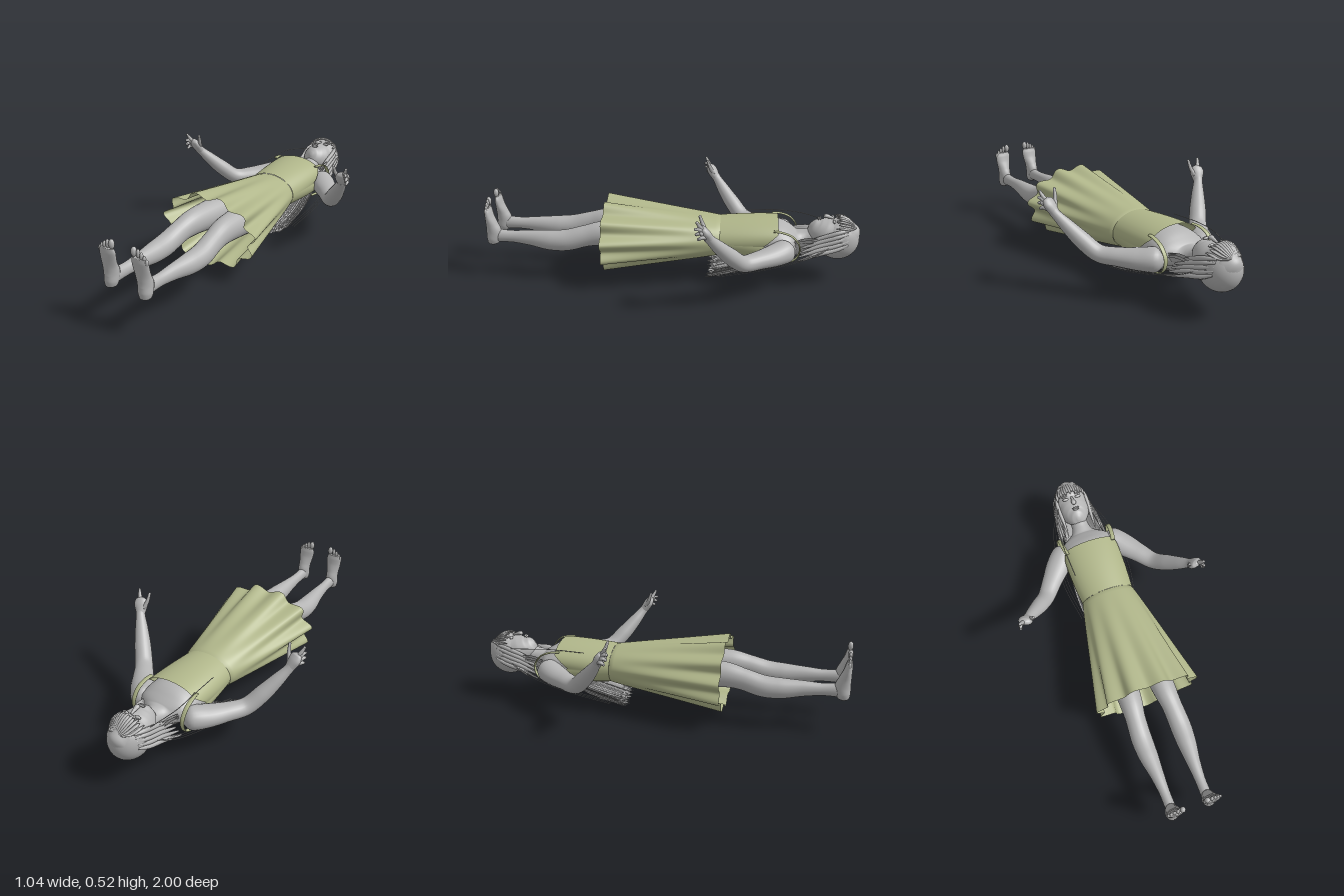
import * as THREE from 'three';
import { ParametricGeometry } from 'three/addons/geometries/ParametricGeometry.js';

const skin = new THREE.MeshStandardMaterial({ color: 0xb4b4b4 });
skin.name = 'skin grey';
const hairMat = new THREE.MeshStandardMaterial({ color: 0xb0b0b0, side: THREE.DoubleSide });
hairMat.name = 'hair grey';
const cloth = new THREE.MeshStandardMaterial({ color: 0xb0b68a, side: THREE.DoubleSide });
cloth.name = 'sage cloth';

const V = (x, y, z) => new THREE.Vector3(x, y, z);

function add(parent, name, geometry, material) {
  const mesh = new THREE.Mesh(geometry, material);
  mesh.name = name;
  parent.add(mesh);
  return mesh;
}

// Closed smooth solid through stations [x, y, z, radiusA, radiusB]
function loft(stations, up = V(0, 1, 0), sides = 24, steps = stations.length * 6) {
  const path = new THREE.CatmullRomCurve3(stations.map(s => V(s[0], s[1], s[2])));
  const size = new THREE.CatmullRomCurve3(stations.map(s => V(s[3], s[4], 0)));
  const pos = [], index = [];
  for (let i = 0; i <= steps; i++) {
    const t = i / steps, c = path.getPoint(t), r = size.getPoint(t), dir = path.getTangent(t);
    const a = up.clone().cross(dir).normalize(), b = dir.clone().cross(a);
    for (let j = 0; j < sides; j++) {
      const q = j / sides * Math.PI * 2;
      const p = c.clone().addScaledVector(a, Math.max(r.x, 0) * Math.cos(q))
        .addScaledVector(b, Math.max(r.y, 0) * Math.sin(q));
      pos.push(p.x, p.y, p.z);
      if (i === steps) continue;
      const k = i * sides + j, n = i * sides + (j + 1) % sides;
      index.push(k, n, k + sides, n, n + sides, k + sides);
    }
  }
  const first = path.getPoint(0), last = path.getPoint(1), base = pos.length / 3, end = steps * sides;
  pos.push(first.x, first.y, first.z, last.x, last.y, last.z);
  for (let j = 0; j < sides; j++) {
    const n = (j + 1) % sides;
    index.push(base, n, j, base + 1, end + j, end + n);
  }
  const g = new THREE.BufferGeometry();
  g.setAttribute('position', new THREE.Float32BufferAttribute(pos, 3));
  g.setIndex(index);
  g.computeVertexNormals();
  return g;
}

function blob(parent, name, material, [x, y, z], [rx, ry, rz], segments = 20) {
  const mesh = add(parent, name, new THREE.SphereGeometry(1, segments, segments * 0.7 | 0), material);
  mesh.position.set(x, y, z);
  mesh.scale.set(rx, ry, rz);
  return mesh;
}

const strand = (points, r) =>
  new THREE.TubeGeometry(new THREE.CatmullRomCurve3(points.map(p => V(...p))), 24, r, 5);

function buildHead(g) {
  add(g, 'head', loft([
    [0, .255, -.995, .01, .01], [0, .26, -.98, .05, .06], [0, .26, -.95, .077, .092],
    [0, .257, -.90, .091, .11], [0, .262, -.85, .088, .103], [0, .282, -.80, .079, .083],
    [0, .302, -.765, .058, .063], [0, .318, -.745, .035, .042], [0, .325, -.735, .008, .01]], undefined, 36), skin);
  add(g, 'nose', loft([[0, .361, -.86, .006, .005], [0, .369, -.835, .009, .009],
    [0, .374, -.815, .014, .011], [0, .365, -.807, .008, .004]], undefined, 14), skin);
  blob(g, 'upperLip', skin, [0, .361, -.787], [.02, .007, .005]);
  blob(g, 'lowerLip', skin, [0, .359, -.778], [.017, .007, .005]);
  for (const s of [1, -1]) {
    blob(g, 'eye', skin, [s * .036, .355, -.857], [.017, .008, .008]);
    blob(g, 'brow', skin, [s * .037, .357, -.877], [.021, .006, .004]);
    blob(g, 'ear', skin, [s * .09, .255, -.845], [.012, .016, .028]);
  }
}

function buildTorso(g) {
  add(g, 'torso', loft([
    [0, .25, .09, .05, .04], [0, .25, .05, .13, .085], [0, .25, -.08, .145, .095], [0, .25, -.25, .128, .09],
    [0, .25, -.45, .138, .097], [0, .248, -.56, .146, .092], [0, .24, -.62, .145, .072],
    [0, .236, -.662, .10, .055], [0, .242, -.695, .058, .05], [0, .25, -.73, .048, .048],
    [0, .265, -.80, .048, .05]], undefined, 36), skin);
}

function buildArm(g, s) {
  const arm = new THREE.Group();
  arm.name = s > 0 ? 'leftArm' : 'rightArm';
  g.add(arm);
  add(arm, 'armLimb', loft([
    [.11, .225, -.62, .03, .03], [.15, .225, -.595, .066, .062], [.2, .222, -.54, .066, .055],
    [.26, .222, -.465, .055, .046], [.32, .228, -.385, .047, .043], [.375, .29, -.32, .044, .042],
    [.425, .36, -.262, .034, .033], [.46, .413, -.222, .025, .024], [.468, .43, -.21, .026, .024]]
    .map(p => [s * p[0], ...p.slice(1)])), skin);
  add(arm, 'palm', loft([[.456, .405, -.228, .02, .02], [.466, .43, -.21, .03, .024],
    [.474, .455, -.195, .038, .024], [.48, .478, -.182, .03, .018], [.482, .488, -.177, .008, .006]]
    .map(p => [s * p[0], ...p.slice(1)])), skin);
  // Thumb, pointing finger and curled fingers
  const fingers = [
    [[.452, .44, -.205], [.437, .48, -.185], [.431, .52, -.17]],
    [[.482, .468, -.188], [.498, .495, -.172], [.507, .518, -.16]],
    [[.49, .462, -.186], [.503, .484, -.168], [.509, .485, -.153]],
    [[.492, .452, -.192], [.508, .465, -.174], [.511, .46, -.157]],
    [[.49, .438, -.2], [.507, .444, -.185], [.51, .435, -.168]]];
  for (const [a, b, c] of fingers) {
    add(arm, 'finger', loft([[...a, .012, .012], [...b, .010, .010], [...c, .007, .007]]
      .map(p => [s * p[0], ...p.slice(1)]), V(0.3, 0, 1), 10, 10), skin);
    blob(arm, 'fingertip', skin, [s * c[0], c[1], c[2]], [.0075, .0075, .0075], 10);
  }
}

function buildLeg(g, s) {
  const leg = new THREE.Group();
  leg.name = s > 0 ? 'leftLeg' : 'rightLeg';
  g.add(leg);
  add(leg, 'legLimb', loft([
    [.075, .25, -.02, .06, .07], [.082, .25, .08, .078, .085], [.09, .265, .24, .07, .076],
    [.096, .27, .37, .06, .067], [.103, .255, .46, .053, .058], [.108, .23, .56, .055, .058],
    [.106, .226, .65, .051, .055], [.1, .233, .76, .036, .042], [.097, .237, .87, .027, .033],
    [.097, .24, .95, .028, .037]].map(p => [s * p[0], ...p.slice(1)])), skin);
  add(leg, 'foot', loft([
    [.101, .19, .966, .012, .012], [.101, .2, .966, .027, .029], [.1, .225, .963, .034, .037],
    [.099, .26, .958, .034, .041], [.098, .30, .966, .036, .033], [.096, .345, .976, .044, .023],
    [.094, .38, .981, .047, .018], [.094, .402, .983, .038, .012]]
    .map(p => [s * p[0], ...p.slice(1)]), V(0, 0, 1)), skin);
  // Toes shrink from the big one inside to the little one outside
  [[.064, .424, .0145, .024], [.088, .42, .0095, .023], [.106, .411, .009, .02],
    [.122, .4, .0085, .018], [.135, .387, .0085, .016]].forEach(([x, y, r, h]) =>
    blob(leg, 'toe', skin, [s * x, y, .983], [r, h, r], 14));
}

function buildDress(g) {
  // Flared skirt with eleven folds deepening toward the hem
  add(g, 'skirt', new ParametricGeometry((u, v, p) => {
    const q = u * Math.PI * 2, fold = 1 + .085 * Math.pow(v, 1.2) * Math.sin(11 * q);
    const rx = .146 + .119 * Math.pow(v, .88), ry = .1 + .082 * Math.pow(v, .9);
    p.set(Math.cos(q) * rx * fold, .248 + Math.sin(q) * ry * fold, -.26 + .615 * v);
  }, 176, 24), cloth);
  // Bodice, higher at the front than under the arms
  add(g, 'bodice', new ParametricGeometry((u, v, p) => {
    const q = u * Math.PI * 2, f = Math.sin(q);
    const top = f > 0 ? -.49 - .075 * Math.min(1, f * 1.7) : -.49 - .04 * Math.min(1, -f * 1.7);
    const z = -.26 + (top + .26) * v, w = Math.sin(v * Math.PI * .6);
    p.set(Math.cos(q) * (.146 + .01 * w) * (1 + .0 * f), .25 + f * (.1 + .012 * w), z);
    // Squared front and back so the panels lie flat
    p.x = Math.sign(p.x) * Math.min(.158, Math.abs(p.x) * (1 + .18 * v * Math.abs(f)));
  }, 72, 16), cloth);
  for (const s of [1, -1]) {
    add(g, 'shoulderStrap', loft([
      [.135, .33, -.54], [.142, .327, -.585], [.146, .305, -.64], [.147, .25, -.677],
      [.147, .19, -.662], [.142, .158, -.6], [.13, .16, -.51]]
      .map(p => [s * p[0], p[1], p[2], .004, .012]), V(1, 0, 0), 10, 36), cloth);
  }
}

function buildHair(g) {
  blob(g, 'scalpHair', hairMat, [0, .248, -.886], [.1, .112, .114], 36);
  // Layered sheet of long hair, grooved into locks with ragged ends
  const rows = new THREE.CatmullRomCurve3([
    V(.145, .092, .09), V(.15, .104, .11), V(.115, .135, .09), V(.048, .153, .083), V(.008, .146, .07)]);
  for (let k = 0; k < 3; k++) {
    add(g, 'longHair', new ParametricGeometry((u, v, p) => {
      const a = u * 2 - 1, r = rows.getPoint(v);
      const ragged = .02 * Math.abs(Math.sin(a * 23 + k * 2)) + .018 * Math.abs(Math.sin(a * 51 + k));
      p.set(a * r.y * (1 - .04 * k), r.x + r.z * a * a + k * .012 + .003 * v * Math.sin(a * 60 + k),
        -.88 + v * (.7 - ragged - .02 * k));
    }, 120, 20), hairMat);
  }
  // Fringe across the forehead
  for (let i = -6; i <= 6; i++) {
    const x = i * .0125, arc = Math.sqrt(1 - (x / .095) ** 2), tip = -.872 - (i & 1) * .012 + Math.abs(i) * .001;
    add(g, 'fringeLock', loft([
      [x * .5, .325, -.972, .006, .004], [x * .8, .262 + .096 * arc, -.937, .009, .005],
      [x, .262 + .113 * arc, -.9, .009, .006], [x * 1.03, .264 + .113 * arc, tip, .002, .002]],
      undefined, 8, 12), hairMat);
  }
  for (const s of [1, -1]) {
    // Locks framing the face
    for (let i = 0; i < 5; i++) {
      const d = i * .009;
      add(g, 'sideLock', loft([
        [s * (.07 + d * .6), .32 - d * 2, -.93, .006, .006], [s * (.085 + d * .5), .31 - d * 2.4, -.87, .011, .012],
        [s * (.083 + d), .275 - d * 2, -.78, .01, .013], [s * (.082 + d * 1.5), .24 - d * 2, -.69 + d * .5, .004, .005]],
        undefined, 8, 18), hairMat);
    }
    // Loose flyaway strands
    for (let i = 0; i < 3; i++) {
      const o = i * .014;
      add(g, 'looseStrand', strand([[s * .09, .25, -.86], [s * (.15 - o), .21, -.77], [s * (.185 - o), .165, -.62],
        [s * (.198 - o), .125, -.45], [s * (.165 - o), .07, -.25]], .0014), hairMat);
    }
  }
  add(g, 'frontStrand', strand([[-.09, .31, -.84], [-.135, .335, -.7], [-.142, .345, -.58],
    [-.138, .34, -.4]], .002), hairMat);
}

export function createModel() {
  const model = new THREE.Group();
  model.name = 'recliningGirl';
  buildHead(model);
  buildTorso(model);
  for (const s of [1, -1]) {
    buildArm(model, s);
    buildLeg(model, s);
  }
  buildDress(model);
  buildHair(model);
  return model;
}
